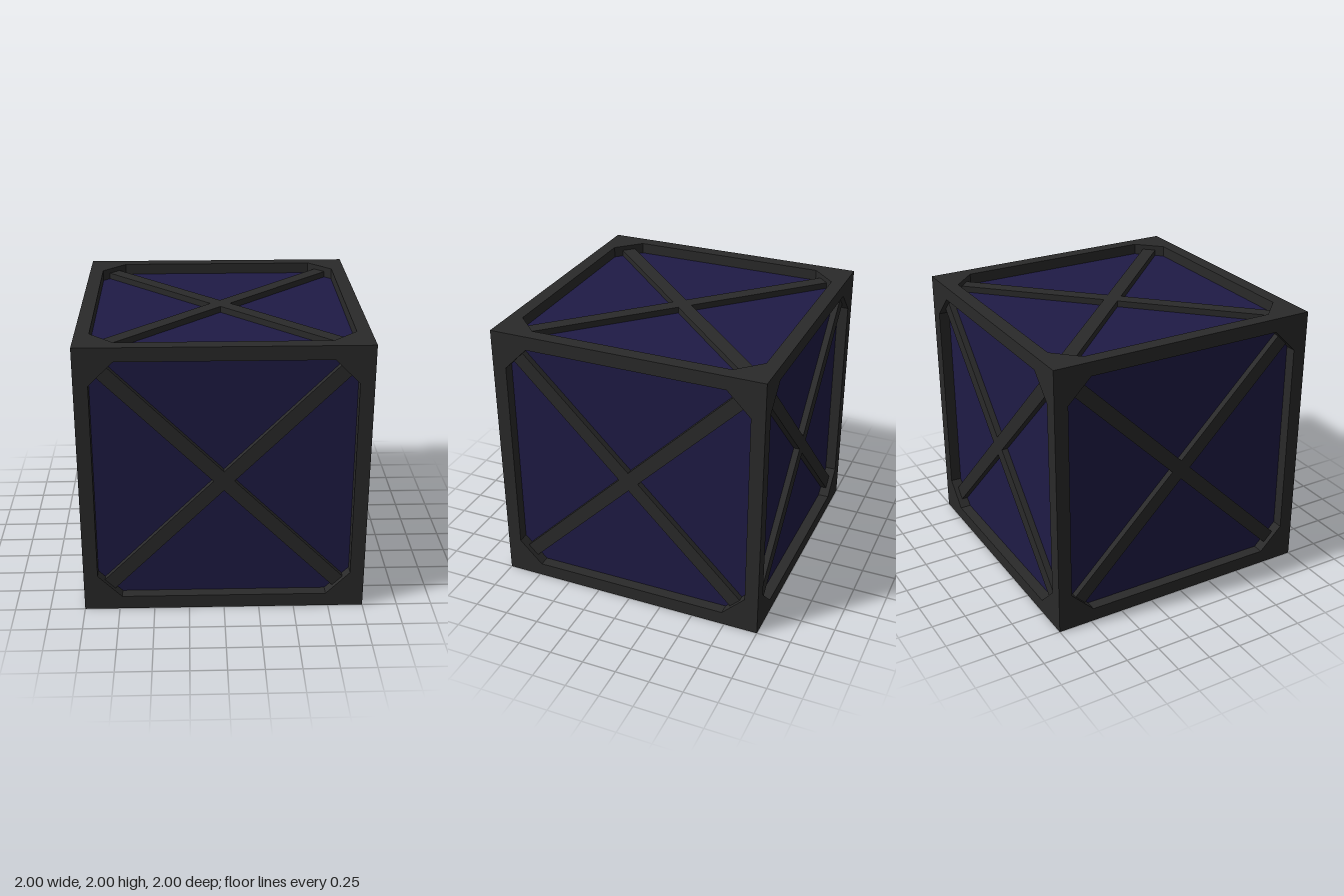
import * as THREE from 'three';

const PANEL = 0.92;   // distance of the recessed panels from the centre
const BRACE = 0.965;  // distance of the brace tops from the centre

const polygon = (Type, pts) => new Type(pts.map(([x, y]) => new THREE.Vector2(x, y)));

// Square face frame with a chamfered opening, mitred to meet its neighbours
function frameGeometry() {
  const shape = polygon(THREE.Shape, [[-1, -1], [1, -1], [1, 1], [-1, 1]]);
  const a = 0.9, b = 0.73;
  shape.holes.push(polygon(THREE.Path, [
    [b, a], [a, b], [a, -b], [b, -a], [-b, -a], [-a, -b], [-a, b], [-b, a],
  ]));
  const geo = new THREE.ExtrudeGeometry(shape, { depth: 1 - PANEL, bevelEnabled: false });
  geo.translate(0, 0, PANEL);
  const p = geo.attributes.position;
  for (let i = 0; i < p.count; i++) {
    if (p.getZ(i) < 0.99 && Math.abs(p.getX(i)) > 0.95) {
      p.setXY(i, p.getX(i) * PANEL, p.getY(i) * PANEL);
    }
  }
  geo.computeVertexNormals();
  return geo;
}

// Diagonal cross brace ending on the opening's chamfers
function braceGeometry() {
  const w = 0.051, l = 1.153;
  const shape = polygon(THREE.Shape, [
    [w, w], [w, l], [-w, l], [-w, w], [-l, w], [-l, -w],
    [-w, -w], [-w, -l], [w, -l], [w, -w], [l, -w], [l, w],
  ]);
  const geo = new THREE.ExtrudeGeometry(shape, { depth: BRACE - PANEL, bevelEnabled: false });
  return geo.rotateZ(Math.PI / 4).translate(0, 0, PANEL);
}

export function createModel() {
  const model = new THREE.Group();
  model.name = 'crate';
  const frameMat = new THREE.MeshStandardMaterial({ color: 0x2a2a2a });
  const panelMat = new THREE.MeshStandardMaterial({ color: 0x1f1b46 });

  // Inner box whose sides are the recessed panels
  const panels = new THREE.Mesh(new THREE.BoxGeometry(2 * PANEL, 2 * PANEL, 2 * PANEL), panelMat);
  panels.name = 'panels';
  panels.position.y = 1;
  model.add(panels);

  // One frame and cross brace on each of the six sides
  const frameGeo = frameGeometry(), braceGeo = braceGeometry();
  const q = Math.PI / 2;
  const sides = {
    front: [0, 0], left: [0, q], back: [0, 2 * q], right: [0, -q], top: [-q, 0], bottom: [q, 0],
  };
  for (const [name, [rx, ry]] of Object.entries(sides)) {
    const side = new THREE.Group();
    side.name = name + 'Side';
    side.rotation.set(rx, ry, 0);
    side.position.y = 1;
    const frame = new THREE.Mesh(frameGeo, frameMat);
    frame.name = name + 'Frame';
    const brace = new THREE.Mesh(braceGeo, frameMat);
    brace.name = name + 'CrossBrace';
    side.add(frame, brace);
    model.add(side);
  }
  return model;
}
